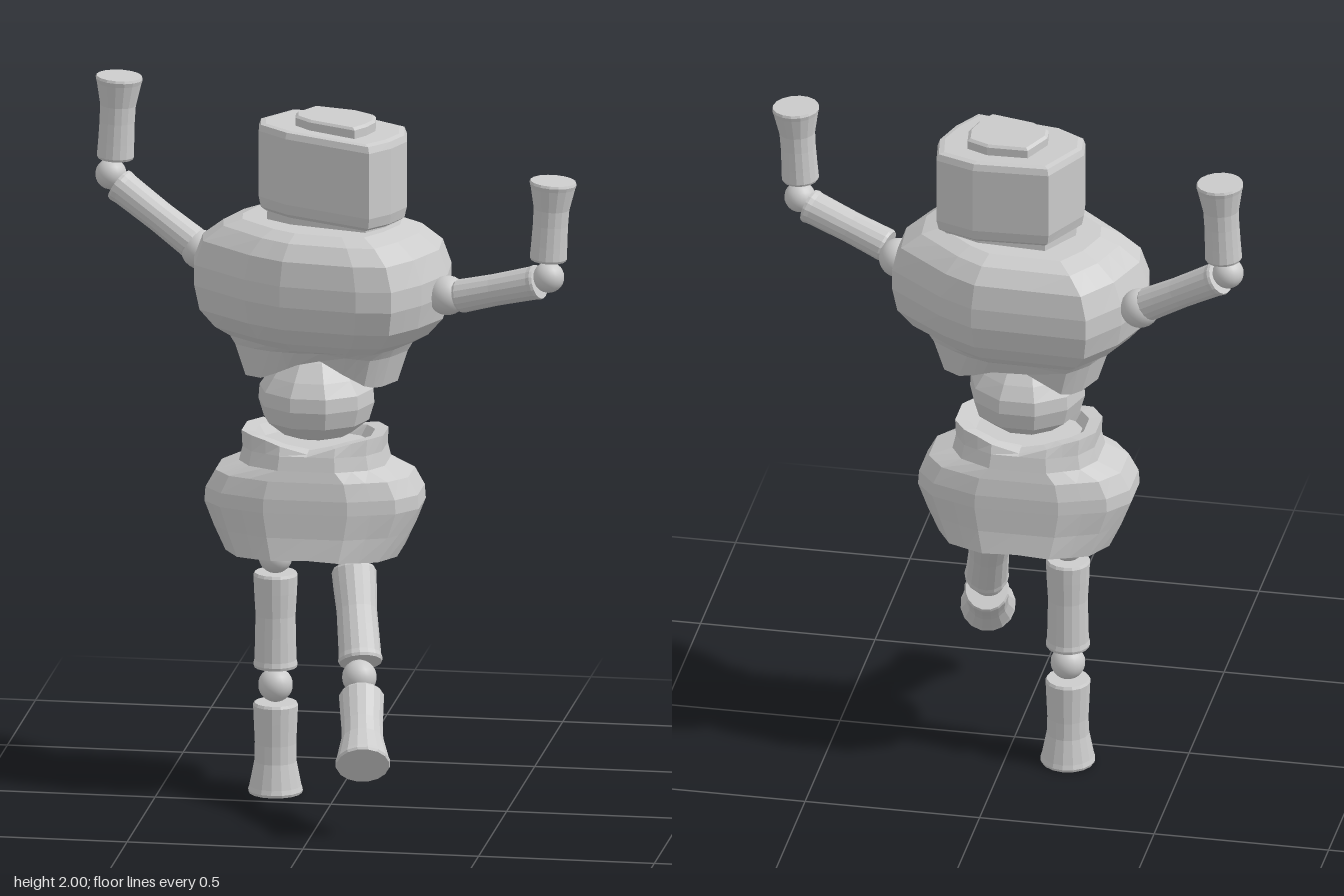
import * as THREE from 'three';

const flat = new THREE.MeshStandardMaterial({ color: 0xcccccc, flatShading: true });
const smooth = new THREE.MeshStandardMaterial({ color: 0xcccccc });
const V = (x, y, z) => new THREE.Vector3(x, y, z);

function add(group, name, geometry, material = flat) {
  const mesh = new THREE.Mesh(geometry, material);
  mesh.name = name;
  group.add(mesh);
  return mesh;
}

// Split every edge of a closed outline in two
const split = (pts) => pts.flatMap((p, i) => {
  const q = pts[(i + 1) % pts.length];
  return [p, [(p[0] + q[0]) / 2, (p[1] + q[1]) / 2]];
});

// Closed solid from one outline [x, z] and rings [y, scaleX, scaleZ, lift of the middle]
function loft(outline, rings, [cx, cz], tilt = 0) {
  const n = outline.length;
  const half = Math.max(...outline.map((p) => Math.abs(p[0])));
  const pos = [], index = [];
  for (const [y, sx, sz, lift = 0] of rings) {
    for (const [x, z] of outline) {
      const middle = Math.max(0, 1 - 1.3 * Math.abs(x) / half);
      pos.push(cx + x * sx, y + lift * middle + tilt * x * sx, cz + z * sz);
    }
  }
  const last = (rings.length - 1) * n;
  for (let r = 0; r < last; r += n) {
    for (let i = 0; i < n; i++) {
      const a = r + i, b = r + (i + 1) % n;
      index.push(a, a + n, b, a + n, b + n, b);
    }
  }
  const low = pos.length / 3;
  pos.push(cx, rings[0][0], cz, cx, rings[rings.length - 1][0], cz);
  for (let i = 0; i < n; i++) {
    const j = (i + 1) % n;
    index.push(low, i, j, low + 1, last + j, last + i);
  }
  const g = new THREE.BufferGeometry();
  g.setAttribute('position', new THREE.Float32BufferAttribute(pos, 3));
  g.setIndex(index);
  g.computeVertexNormals();
  return g;
}

// Turned limb piece from a to b, with radii at start, middle and end
function limb(group, name, a, b, r0, r1, r2) {
  const length = a.distanceTo(b);
  const profile = [
    [0, 0], [r0 * 0.93, 0], [r0, 0.03], [r0 * 0.97, 0.2], [r1, 0.45],
    [r1 * 1.02, 0.65], [r2 * 0.95, 0.92], [r2, 0.97], [r2 * 0.96, 1], [0, 1],
  ].map(([r, t]) => new THREE.Vector2(r, t * length));
  const mesh = add(group, name, new THREE.LatheGeometry(profile, 16));
  mesh.position.copy(a);
  mesh.quaternion.setFromUnitVectors(V(0, 1, 0), b.clone().sub(a).normalize());
}

function ball(group, name, center, r) {
  add(group, name, new THREE.SphereGeometry(r, 20, 14), smooth).position.copy(center);
}

export function createModel() {
  const model = new THREE.Group();
  model.name = 'jointedFigure';

  // Chest, turned towards its right, with an arched lower rim
  const chest = split([
    [-0.24, -0.285], [0.09, -0.275], [0.19, -0.22], [0.355, -0.085], [0.365, 0.045],
    [0.31, 0.175], [0.24, 0.275], [0.14, 0.285], [-0.08, 0.255], [-0.19, 0.195],
    [-0.355, 0.055], [-0.37, -0.035], [-0.32, -0.175],
  ]);
  add(model, 'chest', loft(chest, [
    [1.3, 0.42, 0.4, 0.04], [1.22, 0.6, 0.56, 0.09], [1.31, 0.68, 0.64, 0.02],
    [1.335, 0.72, 0.7], [1.36, 0.84, 0.8], [1.41, 0.96, 0.93], [1.48, 1, 1],
    [1.54, 1, 1], [1.61, 0.93, 0.96], [1.655, 0.77, 0.84], [1.675, 0.62, 0.68],
  ], [-0.04, -0.095]));

  // Neck, head and crown plate, sharing one outline
  const head = split([
    [-0.135, -0.165], [0.085, -0.15], [0.2, -0.095], [0.215, 0.0],
    [0.185, 0.09], [0.135, 0.17], [-0.115, 0.1], [-0.2, 0.04], [-0.21, -0.03],
  ]);
  const headAt = [-0.015, -0.1];
  add(model, 'neck', loft(head, [[1.6, 0.9, 0.84], [1.71, 0.88, 0.82]], headAt));
  add(model, 'head', loft(head, [
    [1.69, 0.9, 0.88], [1.7, 0.97, 0.95], [1.73, 1, 1], [1.92, 1, 1],
    [1.938, 0.97, 0.96], [1.942, 0.9, 0.88],
  ], headAt, -0.06));
  add(model, 'crownPlate', loft(head, [
    [1.93, 0.54, 0.62], [1.965, 0.54, 0.62], [1.972, 0.5, 0.58],
  ], [-0.005, -0.1], -0.05));

  // Waist, a chunky flattened ball
  const waist = [];
  for (let i = 0; i < 10; i++) {
    const a = (i / 10) * Math.PI * 2;
    waist.push([Math.cos(a), Math.sin(a)]);
  }
  add(model, 'waist', loft(waist, [
    [1.045, 0.05, 0.05], [1.06, 0.1, 0.1], [1.1, 0.15, 0.15], [1.15, 0.165, 0.165],
    [1.19, 0.162, 0.162], [1.23, 0.135, 0.14], [1.28, 0.1, 0.1], [1.32, 0.06, 0.06],
  ], [-0.055, -0.088]));

  // Pelvis, with a dipped upper rim and a hollow underside
  const quarter = [[0.305, 0.06], [0.25, 0.125], [0.12, 0.17]];
  const side = [...quarter.map(([x, z]) => [x, -z]).reverse(), ...quarter];
  const pelvis = split([...side, ...side.map(([x, z]) => [-x, -z])]);
  add(model, 'pelvis', loft(pelvis, [
    [0.78, 0.6, 0.6], [0.73, 0.72, 1.02], [0.72, 0.8, 1.13, 0.01], [0.79, 0.91, 1.07],
    [0.86, 1, 1.06], [0.9, 0.99, 1.05], [0.95, 0.9, 1], [0.98, 0.68, 0.95],
    [1.02, 0.65, 0.89], [1.065, 0.66, 0.83, -0.04], [1.06, 0.54, 0.66, -0.03],
    [1.03, 0.48, 0.58],
  ], [-0.06, -0.095]));

  // Arms: joint balls, upper arms and flared forearms
  const arms = [
    ['right', V(-0.41, 1.53, -0.25), V(-0.43, 1.545, -0.255), V(-0.655, 1.69, -0.325),
      V(-0.68, 1.715, -0.34), V(-0.668, 1.76, -0.345), V(-0.657, 2, -0.345)],
    ['left', V(0.33, 1.49, -0.01), V(0.37, 1.5, 0.035), V(0.61, 1.57, 0.103),
      V(0.638, 1.588, 0.115), V(0.638, 1.64, 0.122), V(0.652, 1.87, 0.122)],
  ];
  for (const [name, shoulder, a, b, elbow, c, d] of arms) {
    ball(model, name + 'Shoulder', shoulder, 0.056);
    limb(model, name + 'UpperArm', a, b, 0.048, 0.045, 0.05);
    ball(model, name + 'Elbow', elbow, 0.044);
    limb(model, name + 'Forearm', c, d, 0.053, 0.05, 0.067);
  }

  // Legs: the right one straight, the left one kicked forward
  const legs = [
    ['right', V(-0.175, 0.685, -0.11), V(-0.175, 0.64, -0.11), V(-0.175, 0.365, -0.11),
      V(-0.175, 0.312, -0.11), V(-0.175, 0.262, -0.11), V(-0.175, 0, -0.11)],
    ['left', V(0.05, 0.705, -0.075), V(0.058, 0.675, -0.045), V(0.102, 0.445, 0.11),
      V(0.105, 0.413, 0.15), V(0.115, 0.367, 0.175), V(0.15, 0.215, 0.37)],
  ];
  for (const [name, hip, a, b, knee, c, d] of legs) {
    ball(model, name + 'Hip', hip, 0.048);
    limb(model, name + 'Thigh', a, b, 0.063, 0.057, 0.063);
    ball(model, name + 'Knee', knee, 0.049);
    limb(model, name + 'Shin', c, d, 0.064, 0.059, 0.078);
  }
  return model;
}
